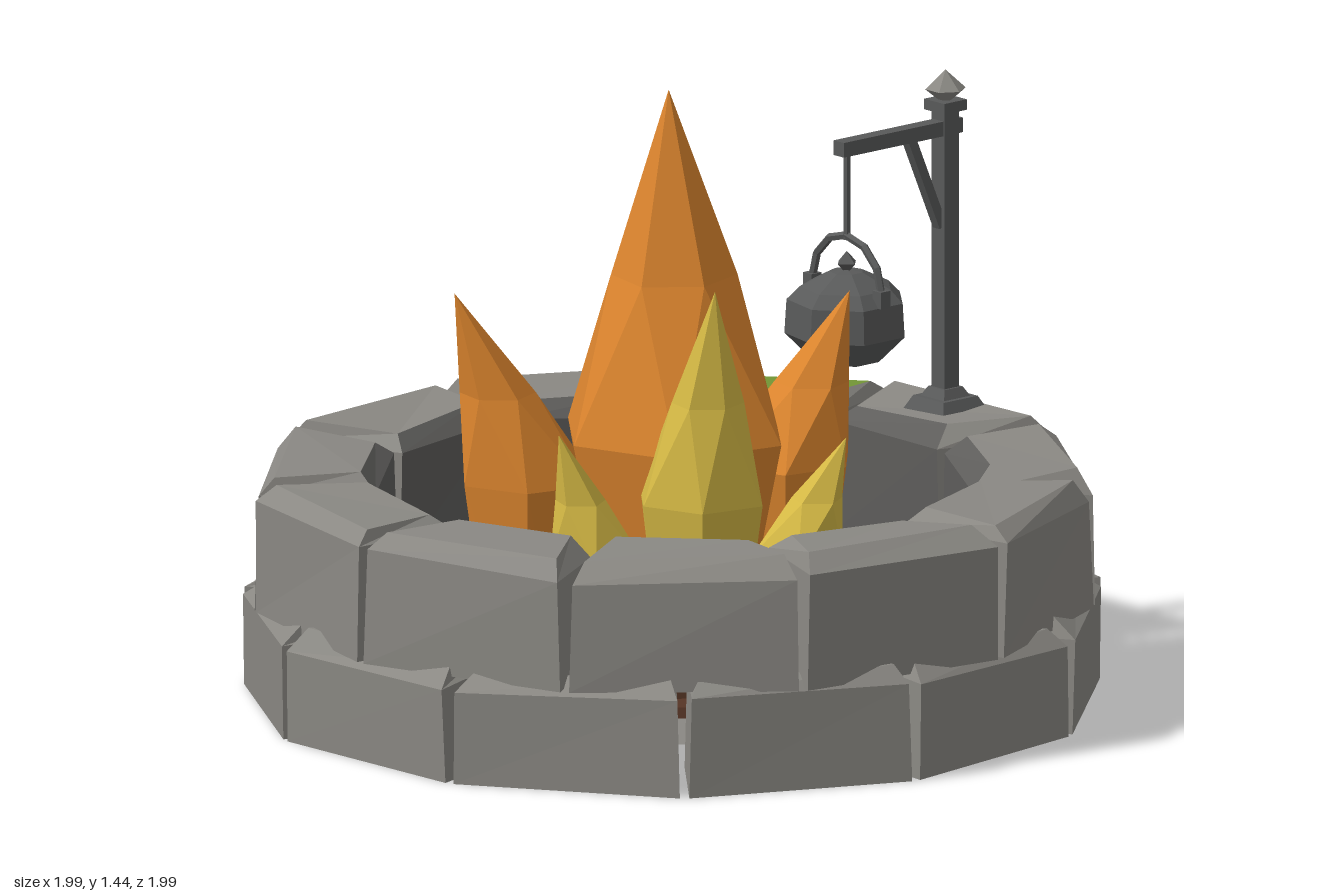
import * as THREE from 'three';

const mat = (name, color, extra = {}) =>
  Object.assign(new THREE.MeshStandardMaterial({ color, flatShading: true, ...extra }), { name });
const both = { side: THREE.DoubleSide };
const stone = mat('stone', 0x8a8883, both);
const darkStone = mat('dark stone', 0x5e5d5b, both);
const moss = mat('moss', 0x739635);
const iron = mat('iron', 0x595a5a);
const wood = mat('wood', 0x613e2b);
const plank = mat('pale wood', 0x7a5d37);
const ash = mat('ash', 0x573526);
const orange = mat('orange flame', 0xdc852e);
const yellow = mat('yellow flame', 0xd6ba45);
const red = mat('ember red', 0xb8402a);

const COUNT = 11;
const STEP = (Math.PI * 2) / COUNT;

// repeatable wobble in -0.5..0.5
const wobble = (k) => {
  const s = Math.sin(k * 127.1 + 11.7) * 43758.5453;
  return s - Math.floor(s) - 0.5;
};

function add(parent, name, geometry, material, x = 0, y = 0, z = 0) {
  const mesh = new THREE.Mesh(geometry, material);
  mesh.name = name;
  mesh.position.set(x, y, z);
  parent.add(mesh);
  return mesh;
}

const lathe = (points, sides) =>
  new THREE.LatheGeometry(points.map((q) => new THREE.Vector2(...q)), sides);

// wedge-shaped block, open below, with a bevelled top; the middle row of a box becomes the shoulder
function stoneGeometry(seed, rIn, rOut, y0, yShoulder, yTop) {
  const g = new THREE.BoxGeometry(2, 2, 2, 1, 2, 1);
  const p = g.attributes.position;
  const half = STEP / 2 - 0.011;
  for (let i = 0; i < p.count; i++) {
    const sx = Math.sign(p.getX(i)), level = Math.round(p.getY(i)) + 1, sz = Math.sign(p.getZ(i));
    const key = seed * 31 + (sx + 1) * 5 + (sz + 1) * 2 + level * 17;
    const r = (sz > 0 ? rOut : rIn) + (level ? wobble(key) * 0.02 : 0);
    let x = r * Math.sin(sx * half), z = r * Math.cos(half);
    if (level === 2) { x -= sx * 0.035; z -= sz * 0.045; }
    if (level === 1) x -= sx * 0.006;
    const y = [y0, yShoulder, yTop][level] + (level ? wobble(key + 3) * 0.025 : 0);
    p.setXYZ(i, x, y, z);
  }
  // drop the underside, then group: sides, top, outer face, inner face
  const index = [...g.index.array];
  index.splice(30, 6);
  g.setIndex(index);
  g.clearGroups();
  g.addGroup(0, 24, 0);
  g.addGroup(24, 6, 1);
  g.addGroup(30, 12, 0);
  g.addGroup(42, 12, 2);
  g.computeVertexNormals();
  return g;
}

function stoneRing(name, offset, rIn, rOut, y0, yShoulder, yTop, mossIndex = -1) {
  const ring = new THREE.Group();
  ring.name = name;
  for (let i = 0; i < COUNT; i++) {
    const g = stoneGeometry(i + y0 * 100, rIn, rOut, y0, yShoulder, yTop);
    add(ring, name + 'Block', g, [stone, i === mossIndex ? moss : stone, darkStone]).rotation.y = (i + offset) * STEP;
  }
  return ring;
}

// faceted flame: narrow foot, wide belly, twisted upper ring, leaning tip
function flame(parent, name, material, [x, z], r, belly, [tx, ty, tz], sides = 6) {
  const y0 = 0.08, h = ty - belly;
  const rows = [[0, y0], [r * 0.62, y0], [r, belly], [r * 0.53, belly + h * 0.46], [0, ty]];
  const g = lathe(rows, sides);
  const p = g.attributes.position;
  for (let i = 0; i < p.count; i++) {
    const row = i % rows.length, seg = Math.floor(i / rows.length) % sides;
    const a = (seg + (row === 3 ? 0.5 : 0)) * (Math.PI * 2 / sides) - 0.3;
    const rr = rows[row][0] * (1 + wobble(seg * 7 + row + tx * 10) * 0.08);
    const lean = [0, 0, 0, 0.4, 1][row];
    p.setXYZ(i, x + rr * Math.sin(a) + (tx - x) * lean, rows[row][1], z + rr * Math.cos(a) + (tz - z) * lean);
  }
  g.computeVertexNormals();
  add(parent, name, g, material);
}

// split log: two wooden halves with a strip of embers between
function log(parent, length, x, y, z, turn, glowHeight, gap) {
  const g = new THREE.Group();
  g.name = 'log';
  const w = (0.16 - gap) / 2;
  for (const s of [-1, 1]) add(g, 'logHalf', new THREE.BoxGeometry(length, 0.09, w), wood, 0, 0, s * (gap + w) / 2);
  add(g, 'logGlow', new THREE.BoxGeometry(length - 0.01, glowHeight, gap), red);
  g.position.set(x, y, z);
  g.rotation.y = turn;
  parent.add(g);
}

// post with arm and hanging kettle; local +x points along the arm
function kettleStand() {
  const g = new THREE.Group();
  g.name = 'kettleStand';
  add(g, 'postFoot', new THREE.CylinderGeometry(0.075, 0.1, 0.035, 4).rotateY(Math.PI / 4), iron, 0, 0.56);
  add(g, 'postCollar', new THREE.CylinderGeometry(0.04, 0.06, 0.025, 4).rotateY(Math.PI / 4), iron, 0, 0.587);
  add(g, 'post', new THREE.BoxGeometry(0.045, 0.7, 0.045), iron, 0, 0.93);
  add(g, 'postCap', new THREE.BoxGeometry(0.07, 0.025, 0.07), iron, 0, 1.272);
  add(g, 'finial', lathe([[0, 1.28], [0.018, 1.285], [0.048, 1.31], [0, 1.355]], 6), stone);
  add(g, 'arm', new THREE.BoxGeometry(0.37, 0.035, 0.036), iron, 0.147, 1.22);
  const brace = add(g, 'brace', new THREE.BoxGeometry(0.024, 0.25, 0.024), iron, 0.067, 1.1);
  brace.rotation.z = -0.41;
  const kx = 0.307;
  add(g, 'hangerRod', new THREE.CylinderGeometry(0.009, 0.009, 0.22, 5), iron, kx, 1.11);
  const pot = [[0, 0.715], [0.08, 0.715], [0.145, 0.78], [0.14, 0.86], [0.11, 0.89], [0.04, 0.925], [0, 0.93]];
  add(g, 'kettle', lathe(pot, 7), iron, kx);
  add(g, 'lidKnob', new THREE.OctahedronGeometry(0.028), iron, kx, 0.945);
  const bail = add(g, 'kettleHandle', new THREE.TorusGeometry(0.12, 0.01, 5, 6, Math.PI), iron, kx, 0.89);
  bail.rotation.y = Math.PI / 2;
  for (const s of [-1, 1]) add(g, 'handleLug', new THREE.BoxGeometry(0.03, 0.04, 0.03), iron, kx, 0.88, s * 0.12);
  g.position.set(0.77, 0, -0.335);
  g.rotation.y = Math.atan2(-0.125, -0.28);
  return g;
}

export function createModel() {
  const model = new THREE.Group();
  model.name = 'firePit';

  // two staggered courses of stone
  model.add(stoneRing('lowerStone', 0, 0.7, 1.0, 0, 0.225, 0.265));
  model.add(stoneRing('upperStone', 0.5, 0.69, 0.982, 0.24, 0.505, 0.55, 4));

  // floor slabs in two greys, and the ash bed
  const floor = new THREE.RingGeometry(0.3, 0.71, COUNT, 1, Math.PI / 2 - STEP / 2);
  for (let i = 0; i < COUNT; i++) floor.addGroup(i * 6, 6, Math.min(i, COUNT - i) % 2);
  floor.rotateX(-Math.PI / 2);
  add(model, 'floorSlabs', floor, [darkStone, stone], 0, 0.05);
  add(model, 'ashBed', new THREE.CylinderGeometry(0.44, 0.45, 0.04, 12), ash, 0, 0.055);

  // crossed logs over two planks
  for (const s of [-1, 1]) {
    add(model, 'plank', new THREE.BoxGeometry(0.8, 0.02, 0.15), plank, 0, 0.03, s * 0.25);
    log(model, 0.84, 0, 0.085, s * 0.25, 0, 0.06, 0.018);
    log(model, 0.77, s * 0.235, 0.175, 0.01, Math.PI / 2, 0.075, 0.056);
  }

  // flames
  const fire = new THREE.Group();
  fire.name = 'fire';
  flame(fire, 'mainFlame', orange, [0.015, -0.03], 0.275, 0.62, [-0.005, 1.44, -0.02]);
  flame(fire, 'leftFlame', orange, [-0.325, -0.1], 0.165, 0.52, [-0.51, 0.98, -0.07]);
  flame(fire, 'rightFlame', orange, [0.3, -0.09], 0.165, 0.52, [0.445, 0.92, -0.05]);
  flame(fire, 'frontFlame', yellow, [0, 0.215], 0.158, 0.52, [-0.005, 1.04, 0.33]);
  flame(fire, 'smallFlame', yellow, [-0.24, 0.16], 0.115, 0.38, [-0.34, 0.69, 0.19], 5);
  flame(fire, 'smallFlame', yellow, [0.25, 0.16], 0.115, 0.36, [0.35, 0.64, 0.22], 5);
  flame(fire, 'backFlame', red, [0.01, -0.265], 0.145, 0.42, [0.02, 0.86, -0.37]);
  model.add(fire);

  model.add(kettleStand());
  return model;
}
